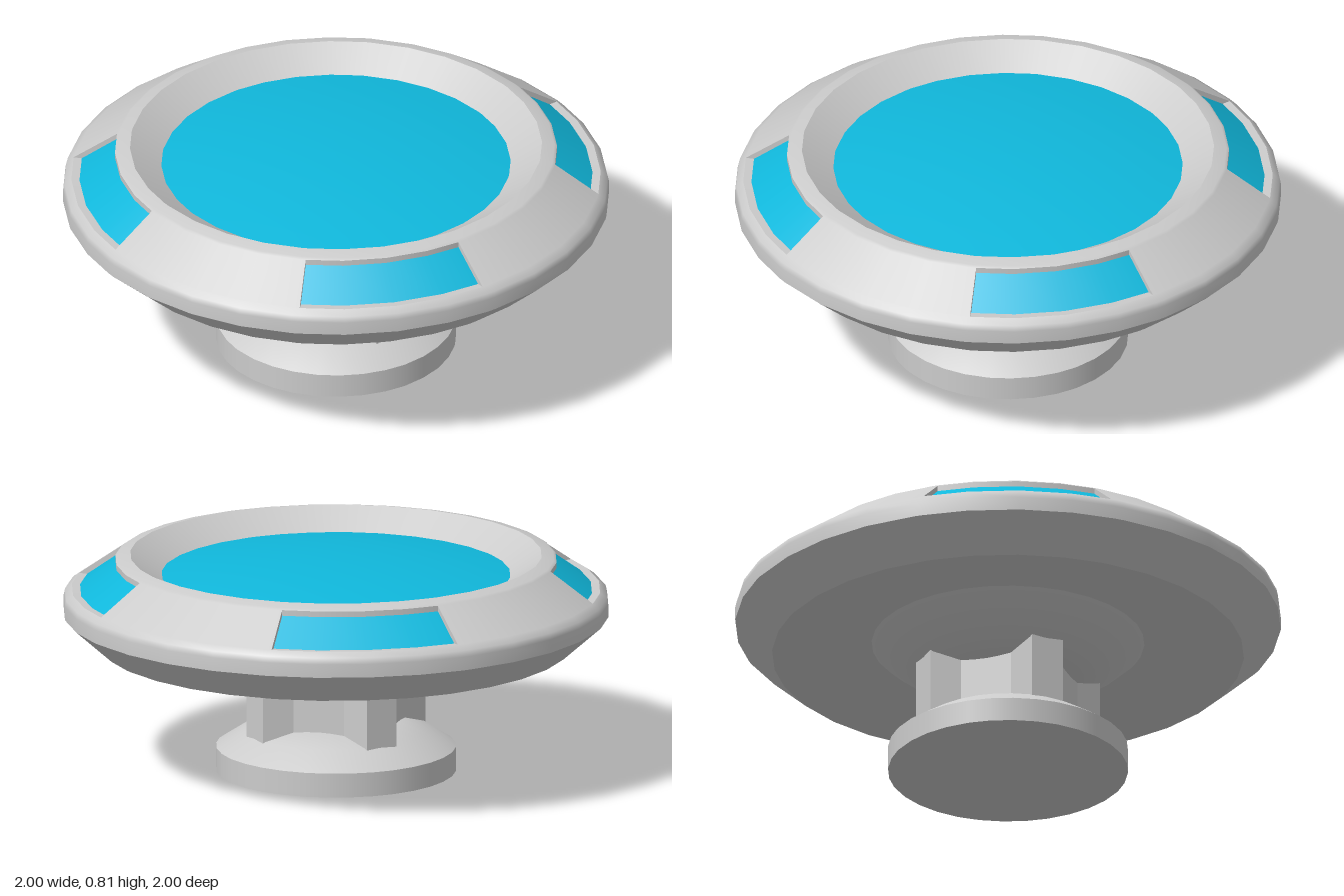
import * as THREE from 'three';
import { mergeGeometries } from 'three/addons/utils/BufferGeometryUtils.js';

const RAD = Math.PI / 180;
const STEP = 11.25; // 32 sides
const WINDOW = [46.5, 88]; // window span inside each quarter, degrees

// angles of one quarter, with the window ends added
const QUARTER = [0, 1, 2, 3, 4, 5, 6, 7, 8].map((i) => i * STEP).concat(WINDOW).sort((a, b) => a - b);
const inWindow = (a) => a >= WINDOW[0] && a < WINDOW[1];

// revolve a profile over the spans accepted by the filter, in all four quarters
function sweep(profile, accept = () => true) {
  const points = profile.map(([r, y]) => new THREE.Vector2(r, y));
  const parts = [];
  for (let q = 0; q < 4; q++) {
    for (let i = 0; i < QUARTER.length - 1; i++) {
      const a = QUARTER[i], b = QUARTER[i + 1];
      if (accept(a)) parts.push(new THREE.LatheGeometry(points, 1, (a + q * 90) * RAD, (b - a) * RAD));
    }
  }
  return mergeGeometries(parts);
}

// split a list of bands so that each band keeps sharp borders
const bands = (...profiles) => mergeGeometries(profiles.map((p) => sweep(p)));

export function createModel() {
  const model = new THREE.Group();
  const grey = new THREE.MeshStandardMaterial({ color: 0xcccccc });
  const greyThin = new THREE.MeshStandardMaterial({ color: 0xcccccc, side: THREE.DoubleSide });
  const blue = new THREE.MeshStandardMaterial({ color: 0x10b8dc });
  const add = (name, geometry, material, parent = model) => {
    const mesh = new THREE.Mesh(geometry, material);
    mesh.name = name;
    parent.add(mesh);
    return mesh;
  };

  // round foot with a sloping top
  add('foot', bands(
    [[0, 0], [0.44, 0]],
    [[0.44, 0], [0.44, 0.09]],
    [[0.44, 0.09], [0.34, 0.155], [0.23, 0.195], [0, 0.2]],
  ), grey);

  // column with four bevelled ribs
  const quarter = [[0.235, 0.098], [0.098, 0.235], [0.062, 0.342], [-0.062, 0.342], [-0.098, 0.235]];
  const outline = [];
  for (let q = 0; q < 4; q++) {
    for (const [x, y] of quarter.slice(1)) {
      outline.push(new THREE.Vector2(x, y).rotateAround(new THREE.Vector2(), q * Math.PI / 2));
    }
  }
  const column = new THREE.ExtrudeGeometry(new THREE.Shape(outline), { depth: 0.25, bevelEnabled: false });
  column.rotateX(-Math.PI / 2).translate(0, 0.15, 0);
  add('column', column, grey);

  // flare under the dish
  add('flare', sweep([[0, 0.35], [0.235, 0.352], [0.34, 0.39], [0.45, 0.47], [0.5, 0.515]]), grey);

  // dish body: underside, outer wall, rim and inner slope
  add('dish', bands(
    [[0.5, 0.515], [0.68, 0.488], [0.865, 0.47]],
    [[0.865, 0.47], [1, 0.59]],
    [[1, 0.59], [1, 0.64], [0.995, 0.663], [0.97, 0.681]],
    [[0.81, 0.793], [0.8, 0.8], [0.755, 0.81]],
    [[0.755, 0.81], [0.64, 0.735]],
  ), grey);

  // upper slope between the windows
  add('upperSlope', sweep([[0.97, 0.681], [0.81, 0.793]], (a) => !inWindow(a)), grey);

  // recessed windows: sill, lintel, end walls and panes
  const windows = new THREE.Group();
  windows.name = 'windows';
  model.add(windows);
  add('windowSills', sweep([[0.97, 0.681], [0.94, 0.679]], inWindow), greyThin, windows);
  add('windowLintels', sweep([[0.81, 0.772], [0.81, 0.793]], inWindow), greyThin, windows);
  add('windowPanes', sweep([[0.94, 0.679], [0.81, 0.772]], inWindow), blue, windows);
  const endShape = new THREE.Shape(
    [[0.94, 0.679], [0.97, 0.681], [0.81, 0.793], [0.81, 0.772]].map((p) => new THREE.Vector2(...p)));
  for (let q = 0; q < 4; q++) {
    for (const a of WINDOW) {
      const wall = add('windowEndWall', new THREE.ShapeGeometry(endShape), greyThin, windows);
      wall.rotation.y = (a + q * 90 - 90) * RAD;
    }
  }

  // shallow domed surface inside the rim
  const dome = [];
  for (let i = 0; i <= 8; i++) {
    const t = 1 - i / 8;
    dome.push([0.64 * t, 0.735 + 0.05 * (1 - t * t)]);
  }
  add('domedTop', sweep(dome), blue);

  return model;
}
